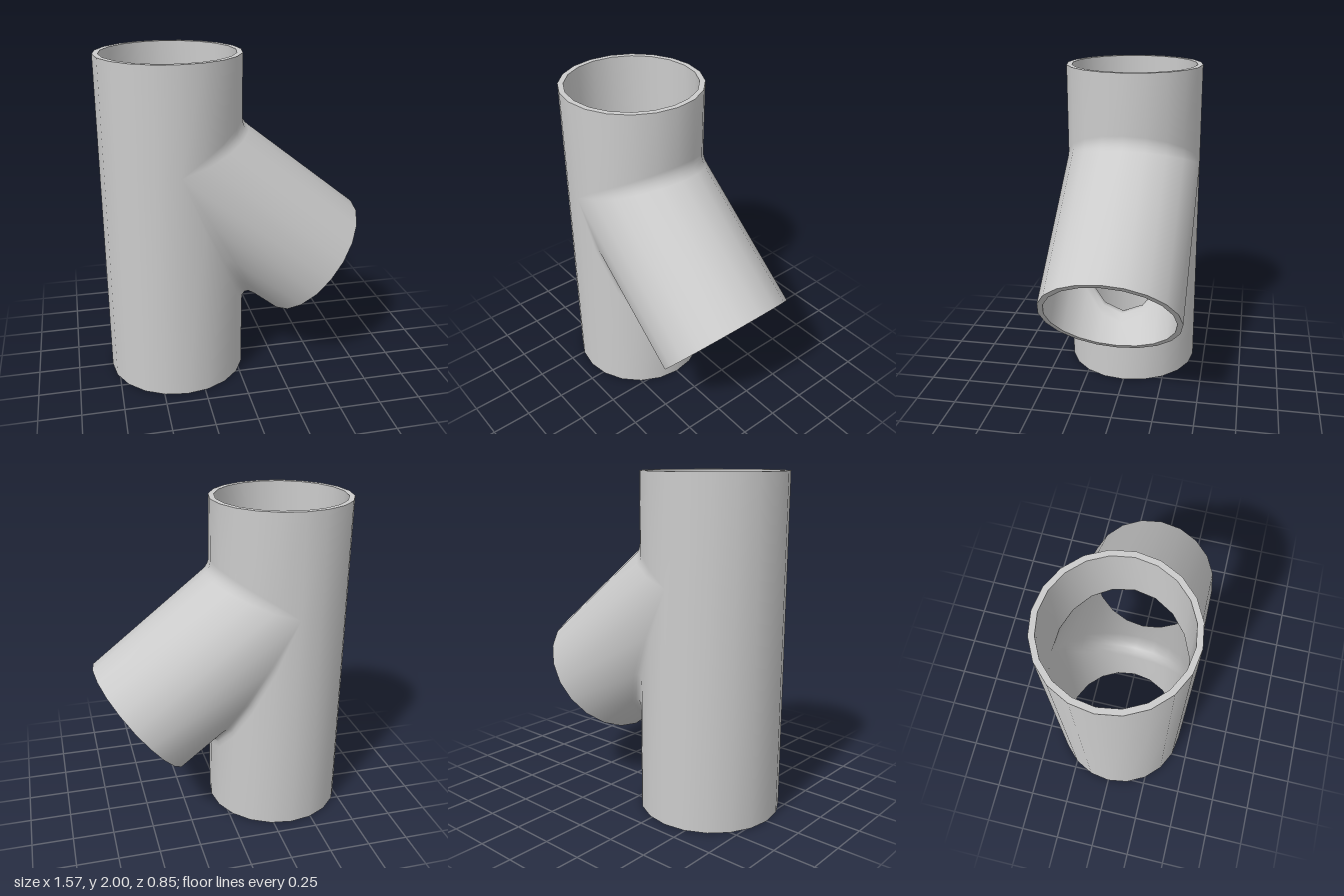
import * as THREE from 'three';
import { mergeGeometries, mergeVertices } from 'three/addons/utils/BufferGeometryUtils.js';

const SIDES = 20, OUTER = 0.423, INNER = 0.39, HEIGHT = 2;
const AXIS_X = -0.364;                               // axis of the upright pipe
const END = new THREE.Vector3(0.521, 0.68, 0);       // centre of the branch mouth
const DIR = new THREE.Vector3(0.783, -0.622, 0).normalize(); // branch runs outward and down
const UP = new THREE.Vector3(-DIR.y, DIR.x, 0);      // across the branch, upward
const Z = new THREE.Vector3(0, 0, 1);

const angle = (i) => (i / SIDES) * Math.PI * 2;
const pipePoint = (r, a, y) => new THREE.Vector3(AXIS_X + r * Math.cos(a), y, r * Math.sin(a));
const mouthPoint = (r, a) =>
  END.clone().addScaledVector(UP, r * Math.cos(a)).addScaledVector(Z, r * Math.sin(a));

// Skin a list of columns, each a list of points
function grid(columns, flip = false) {
  const rows = columns[0].length, index = [];
  for (let i = 0; i < columns.length - 1; i++) {
    for (let j = 0; j < rows - 1; j++) {
      const a = i * rows + j, b = a + rows;
      if (flip) index.push(a, b + 1, b, a, a + 1, b + 1);
      else index.push(a, b, b + 1, a, b + 1, a + 1);
    }
  }
  const g = new THREE.BufferGeometry().setFromPoints(columns.flat());
  g.setIndex(index);
  return g;
}

// Point where the branch line at mouth angle a meets the upright pipe
function seamPoint(r, a) {
  const p = mouthPoint(r, a);
  const t = (p.x - AXIS_X - r * Math.abs(Math.cos(a))) / DIR.x;
  return p.addScaledVector(DIR, -t);
}

// Profile at one depth: along the pipe, round the fillet, out to the mouth
function profile(r, a, endY, setback) {
  const seam = seamPoint(r, a);
  const s = setback * Math.sqrt(Math.abs(Math.cos(a)));
  const onPipe = seam.clone();
  onPipe.y += endY > seam.y ? s : -s;
  const onBranch = seam.clone().addScaledVector(DIR, s);
  const fillet = new THREE.QuadraticBezierCurve3(onPipe, seam, onBranch).getPoints(4);
  return [new THREE.Vector3(seam.x, endY, seam.z), ...fillet, mouthPoint(r, a)];
}

// One continuous skin of the Y-shaped pipe
function wall(r, topSetback, bottomSetback, flip) {
  const upper = [], lower = [], back = [];
  const tipY = seamPoint(r, Math.PI / 2).y;
  for (let i = -SIDES / 4; i <= SIDES / 4; i++) {
    const a = angle(i);
    upper.push(profile(r, a, HEIGHT, topSetback));
    lower.push(profile(r, Math.PI - a, 0, bottomSetback).reverse());
    back.push([HEIGHT, tipY, 0].map((y) => pipePoint(r, a + Math.PI, y)));
  }
  const g = mergeVertices(mergeGeometries([upper, lower, back].map((c) => grid(c, flip))), 1e-4);
  g.computeVertexNormals();
  return g;
}

// Flat ring joining the outer and inner skins at an opening
function rim(pointAt, flip) {
  const columns = [];
  for (let i = 0; i <= SIDES; i++) columns.push([pointAt(OUTER, angle(i)), pointAt(INNER, angle(i))]);
  const g = grid(columns, flip);
  g.computeVertexNormals();
  return g;
}

export function createModel() {
  const group = new THREE.Group();
  group.name = 'branchedPipe';
  const material = new THREE.MeshStandardMaterial({ color: 0xcccccc });
  const add = (name, geometry) => {
    const mesh = new THREE.Mesh(geometry, material);
    mesh.name = name;
    group.add(mesh);
  };

  // Skins; the inner fillets are offsets of the outer ones
  add('outerWall', wall(OUTER, 0.05, 0.11, false));
  add('innerWall', wall(INNER, 0.035, 0.17, true));

  // Rims of the three openings
  add('topRim', rim((r, a) => pipePoint(r, a, HEIGHT), true));
  add('bottomRim', rim((r, a) => pipePoint(r, a, 0), false));
  add('branchRim', rim(mouthPoint, false));
  return group;
}
